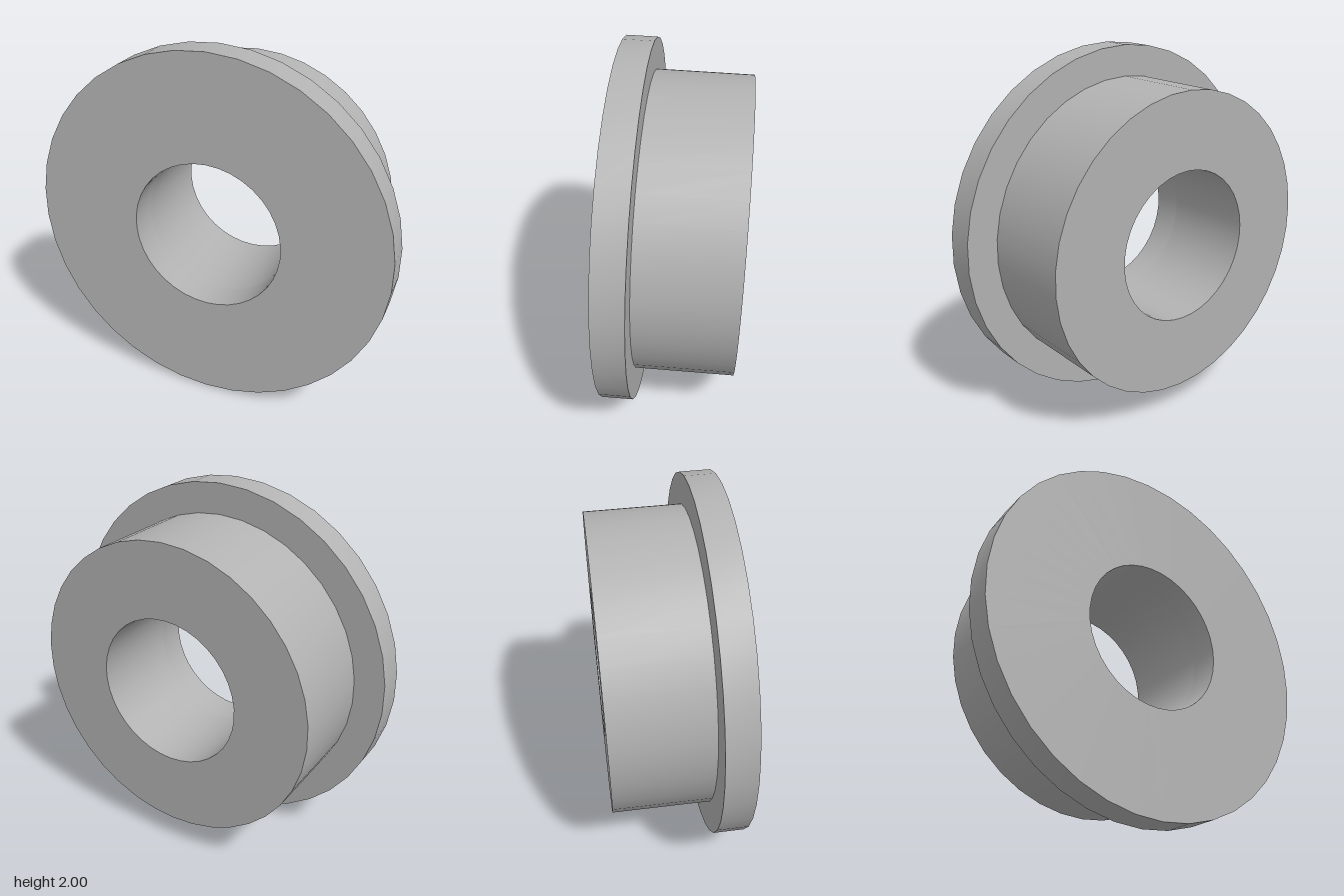
import * as THREE from 'three';
import { toCreasedNormals } from 'three/addons/utils/BufferGeometryUtils.js';

const SIDES = 38;
const BORE = 0.416, BARREL = 0.83, FLANGE = 0.998; // radii
const STEP = -0.165, BACK = -0.692;                // depths behind the front face
const TILT = 0.031;

const steel = new THREE.MeshStandardMaterial({ color: 0xb2b2b2 });
steel.name = 'steel grey';

// Turns a [radius, depth] profile around the z axis, keeping the rims sharp
function turned(name, profile) {
  const points = profile.map(([r, d]) => new THREE.Vector2(r, d));
  const lathe = new THREE.LatheGeometry(points, SIDES).rotateX(Math.PI / 2);
  const mesh = new THREE.Mesh(toCreasedNormals(lathe, 0.5), steel);
  mesh.name = name;
  return mesh;
}

export function createModel() {
  const bushing = new THREE.Group();
  bushing.name = 'flangedBushing';

  // Wide front collar, with its part of the bore
  bushing.add(turned('flange', [
    [BARREL, STEP], [FLANGE, STEP], [FLANGE, 0], [BORE, 0], [BORE, STEP],
  ]));

  // Narrower sleeve behind it: bore, back ring and outer wall
  bushing.add(turned('barrel', [
    [BORE, STEP], [BORE, BACK], [BARREL, BACK], [BARREL, STEP],
  ]));

  // The whole bushing leans back slightly
  bushing.rotation.x = -TILT;
  bushing.position.set(0, 1.0026, 0.344);

  const model = new THREE.Group();
  model.name = 'model';
  model.add(bushing);
  return model;
}
